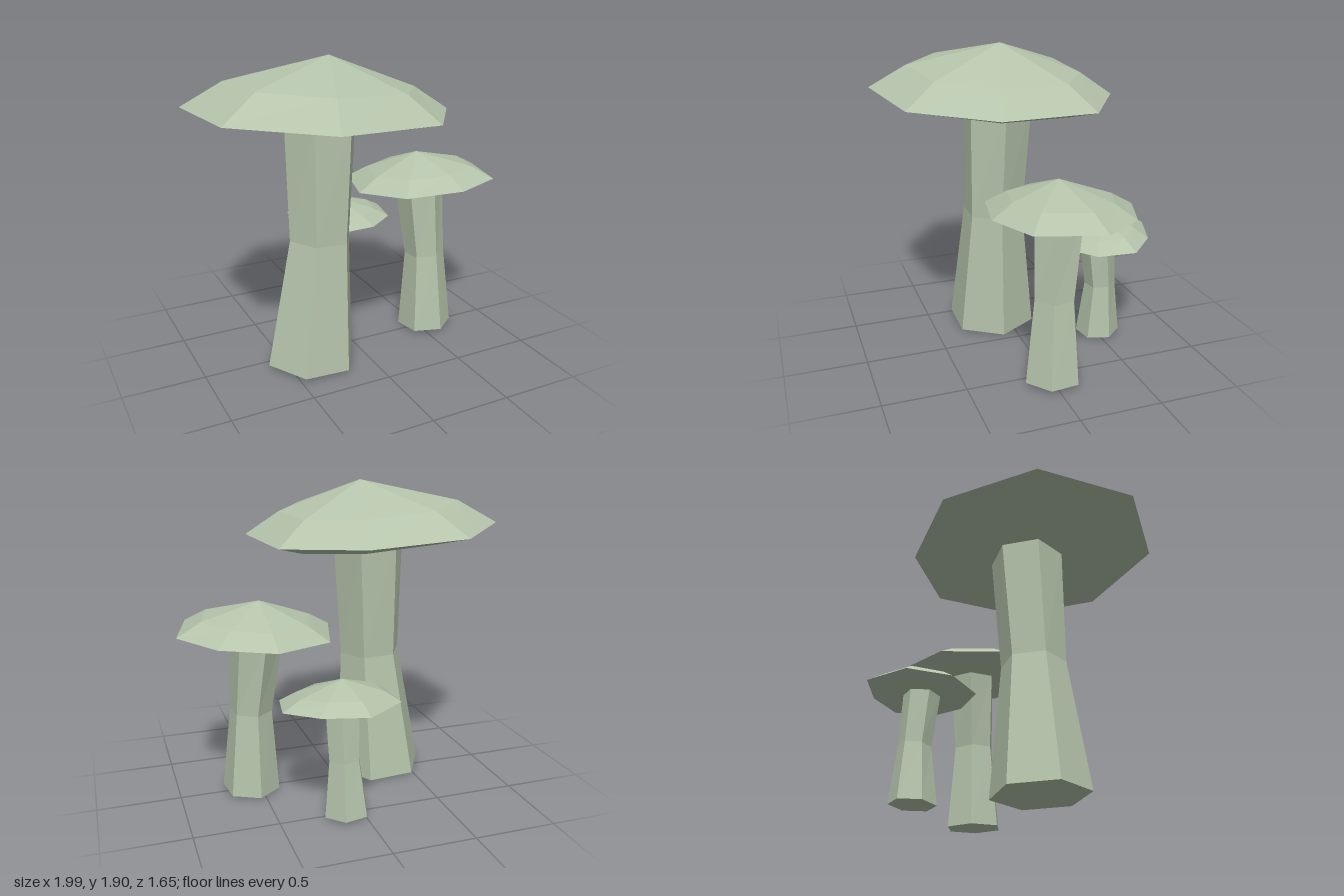
import * as THREE from 'three';

const sage = new THREE.MeshStandardMaterial({ color: 0xb5c4ab, flatShading: true });
sage.name = 'sage';

// Skin a stack of equal-sized rings (bottom to top) and close both ends with fans
function loft(name, rings, bottom, top) {
  const pos = [];
  const tri = (a, b, c) => pos.push(...a, ...b, ...c);
  const n = rings[0].length;
  const last = rings[rings.length - 1];
  for (let i = 0; i < n; i++) {
    const j = (i + 1) % n;
    for (let k = 0; k < rings.length - 1; k++) {
      const lo = rings[k], hi = rings[k + 1];
      tri(lo[i], hi[i], lo[j]);
      tri(hi[i], hi[j], lo[j]);
    }
    tri(bottom, rings[0][i], rings[0][j]);
    tri(top, last[j], last[i]);
  }
  const geometry = new THREE.BufferGeometry();
  geometry.setAttribute('position', new THREE.Float32BufferAttribute(pos, 3));
  geometry.computeVertexNormals();
  const mesh = new THREE.Mesh(geometry, sage);
  mesh.name = name;
  return mesh;
}

// Faceted cap: flat underside, slanted lip, wide rim, shoulder and peak
function cap({ rim, apex, level, tilt, lip, shoulder }) {
  const [ax, ay, az] = apex;
  const height = (x, z) => level + tilt[0] * x + tilt[1] * z;
  const ring = (s, dy) => rim.map(([x, z]) =>
    [ax + (x - ax) * s, height(x, z) + dy, az + (z - az) * s]);
  return loft('cap', [ring(0.74, -lip), ring(1, 0), ring(0.71, shoulder)],
    [ax, height(ax, az) - lip, az], apex);
}

// Crooked six-sided stem; each section is [x, y, z, radius, turn in degrees]
function stem({ sections, tilt }) {
  const rings = sections.map(([x, y, z, r, turn]) => Array.from({ length: 6 }, (_, i) => {
    const a = (turn + i * 60) * Math.PI / 180;
    const dx = r * Math.cos(a), dz = r * Math.sin(a);
    return [x + dx, y + tilt[0] * dx + tilt[1] * dz, z + dz];
  }));
  return loft('stem', rings, sections[0].slice(0, 3), sections[sections.length - 1].slice(0, 3));
}

const mushrooms = [
  {
    name: 'largeMushroom',
    rim: [[0.49, 0.27], [0.17, 0.72], [-0.47, 0.82], [-0.95, 0.45],
      [-1, -0.16], [-0.6, -0.58], [0, -0.6], [0.43, -0.32]],
    apex: [-0.18, 1.905, 0.06], level: 1.594, tilt: [-0.048, 0.016], lip: 0.048, shoulder: 0.138,
    sections: [[-0.335, 0.018, 0.09, 0.285, 0], [-0.265, 0.82, 0.09, 0.195, 0], [-0.24, 1.57, 0.065, 0.225, 2]],
  },
  {
    name: 'mediumMushroom',
    rim: [[0.99, -0.14], [0.89, 0.24], [0.58, 0.36], [0.22, 0.29],
      [0.04, 0.02], [0.15, -0.37], [0.49, -0.52], [0.8, -0.4]],
    apex: [0.49, 1.23, -0.06], level: 1.033, tilt: [0.035, 0.03], lip: 0.03, shoulder: 0.077,
    sections: [[0.56, 0.022, -0.01, 0.178, 22], [0.55, 0.54, -0.02, 0.13, 23], [0.51, 1.03, -0.055, 0.158, 20]],
  },
  {
    name: 'smallMushroom',
    rim: [[0.49, -0.57], [0.45, -0.34], [0.26, -0.2], [0, -0.18],
      [-0.19, -0.38], [-0.18, -0.65], [0.07, -0.83], [0.32, -0.74]],
    apex: [0.12, 0.845, -0.49], level: 0.695, tilt: [-0.02, -0.045], lip: 0.022, shoulder: 0.058,
    sections: [[0.1, 0.02, -0.515, 0.14, -10], [0.115, 0.37, -0.515, 0.098, -12], [0.115, 0.705, -0.485, 0.112, -10]],
  },
];

export function createModel() {
  const model = new THREE.Group();
  model.name = 'mushroomCluster';
  for (const spec of mushrooms) {
    const mushroom = new THREE.Group();
    mushroom.name = spec.name;
    mushroom.add(stem(spec), cap(spec));
    model.add(mushroom);
  }
  return model;
}
